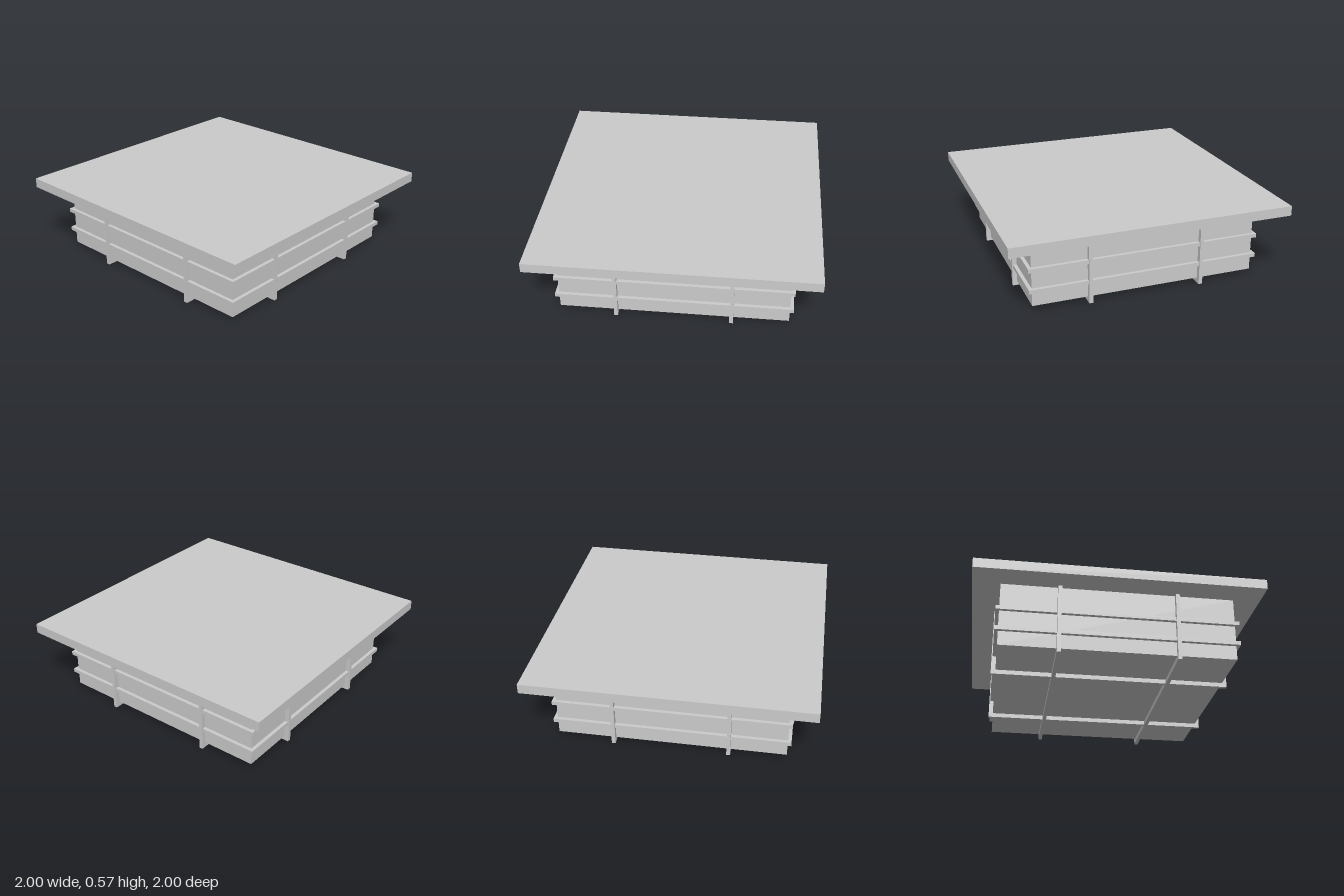
import * as THREE from 'three';

const material = new THREE.MeshStandardMaterial({ color: 0xcccccc, flatShading: true });

// Box given by its lower and upper corners
function box(name, [x0, y0, z0], [x1, y1, z1]) {
  const mesh = new THREE.Mesh(new THREE.BoxGeometry(x1 - x0, y1 - y0, z1 - z0), material);
  mesh.position.set((x0 + x1) / 2, (y0 + y1) / 2, (z0 + z1) / 2);
  mesh.name = name;
  return mesh;
}

const BODY = 0.81, BODY_BOTTOM = 0.037, BODY_TOP = 0.498, TOP = 0.568;
const RAIL = 0.835, STRAP = 0.842, HALF = 0.0135;

// U-shaped strap: two uprights joined by a strip under the body, running along x
function strap(offset, bottom) {
  const group = new THREE.Group();
  group.name = 'strap';
  const z0 = offset - HALF, z1 = offset + HALF;
  group.add(
    box('strapUnderside', [-STRAP, bottom, z0], [STRAP, BODY_BOTTOM, z1]),
    box('strapUpright', [-STRAP, BODY_BOTTOM, z0], [-BODY, BODY_TOP, z1]),
    box('strapUpright', [BODY, BODY_BOTTOM, z0], [STRAP, BODY_TOP, z1])
  );
  return group;
}

// Square rail ring around the body
function railRing(y0, y1) {
  const group = new THREE.Group();
  group.name = 'railRing';
  for (const s of [-1, 1]) {
    const a = Math.min(s * BODY, s * RAIL), b = Math.max(s * BODY, s * RAIL);
    group.add(
      box('railLong', [-RAIL, y0, a], [RAIL, y1, b]),
      box('railSide', [a, y0, -BODY], [b, y1, BODY])
    );
  }
  return group;
}

export function createModel() {
  const model = new THREE.Group();
  model.name = 'strappedBox';

  // Overhanging slab and the body below it
  model.add(box('topSlab', [-1, BODY_TOP, -1], [1, TOP, 1]));
  model.add(box('body', [-BODY, BODY_BOTTOM, -BODY], [BODY, BODY_TOP, BODY]));

  // Two straps each way, crossing underneath
  for (const offset of [-0.407, 0.407]) {
    model.add(strap(offset, 0));
    const across = strap(offset, 0.006);
    across.rotation.y = Math.PI / 2;
    model.add(across);
  }

  // Two horizontal rails all the way round
  model.add(railRing(0.139, 0.167), railRing(0.291, 0.319));
  return model;
}
